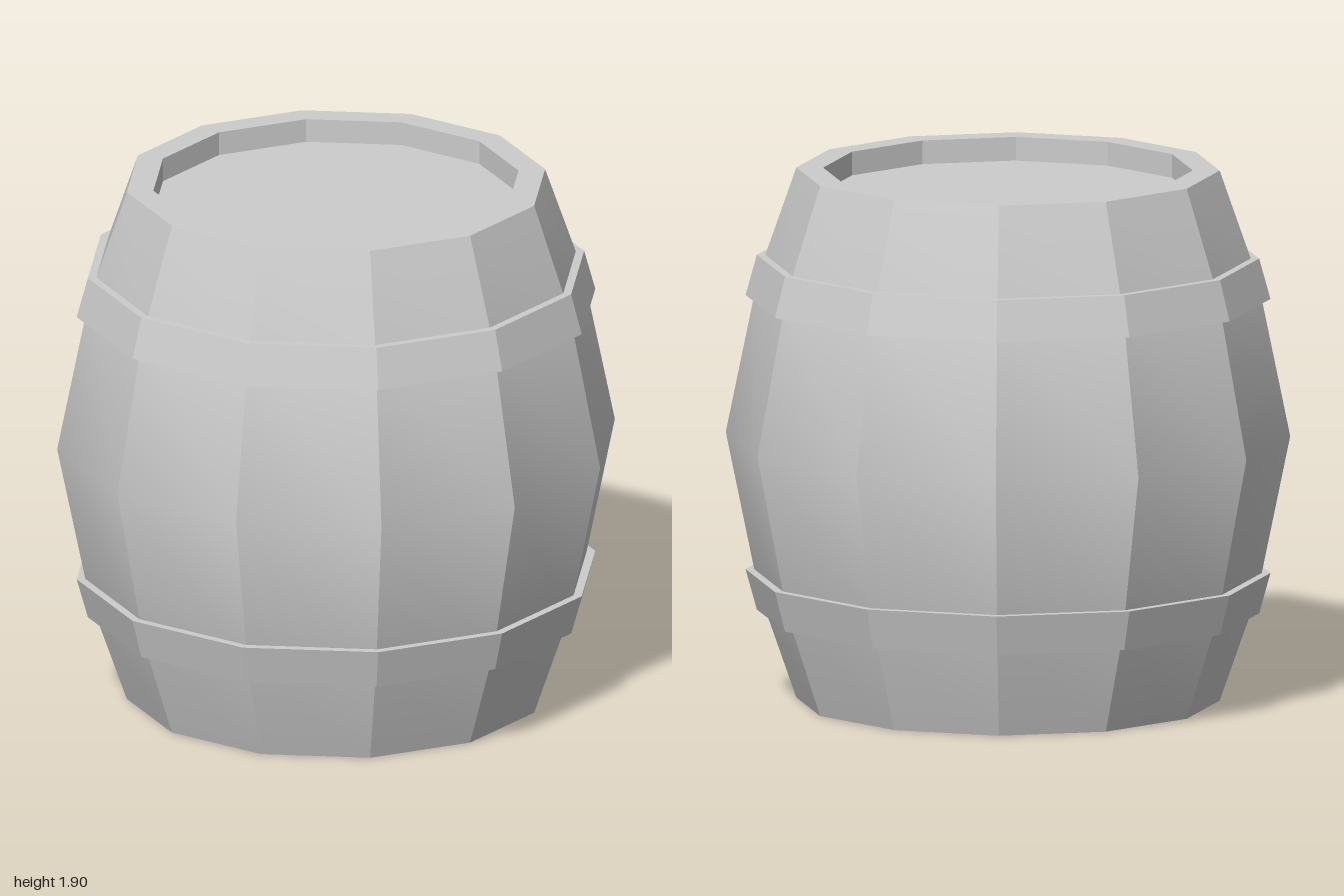
import * as THREE from 'three';
import { toCreasedNormals } from 'three/addons/utils/BufferGeometryUtils.js';

const SIDES = 12;
const HEIGHT = 1.905;
const LID_RADIUS = 0.655;
const LID_DEPTH = 0.085;
// Smooth along each stave, sharp between neighbouring staves
const CREASE = THREE.MathUtils.degToRad(26);

function lathe(points) {
  const profile = points.map(([r, y]) => new THREE.Vector2(r, y));
  return toCreasedNormals(new THREE.LatheGeometry(profile, SIDES), CREASE);
}

export function createModel() {
  const group = new THREE.Group();
  const grey = new THREE.MeshStandardMaterial({ color: 0xcccccc });
  grey.name = 'grey';

  const add = (name, geometry) => {
    const mesh = new THREE.Mesh(geometry, grey);
    mesh.name = name;
    group.add(mesh);
    return mesh;
  };

  // Bulging staves with a raised rim at both ends; the upper half mirrors the lower
  const lower = [[LID_RADIUS, LID_DEPTH], [LID_RADIUS, 0], [0.75, 0], [0.883, 0.381]];
  const upper = lower.map(([r, y]) => [r, HEIGHT - y]).reverse();
  add('staves', lathe([...lower, [1, HEIGHT / 2], ...upper]));

  // Recessed heads
  for (const [name, y, turn] of [
    ['topHead', HEIGHT - LID_DEPTH, -Math.PI / 2],
    ['bottomHead', LID_DEPTH, Math.PI / 2],
  ]) {
    const head = add(name, new THREE.CircleGeometry(LID_RADIUS, SIDES));
    head.rotation.x = turn;
    head.position.y = y;
  }

  // Hoops: sloping bands sunk slightly into the staves
  const hoop = [[0.83, 0.315], [0.89, 0.315], [0.93, 0.46], [0.87, 0.46], [0.83, 0.315]];
  add('lowerHoop', lathe(hoop));
  add('upperHoop', lathe(hoop.map(([r, y]) => [r, HEIGHT - y]).reverse()));

  return group;
}
